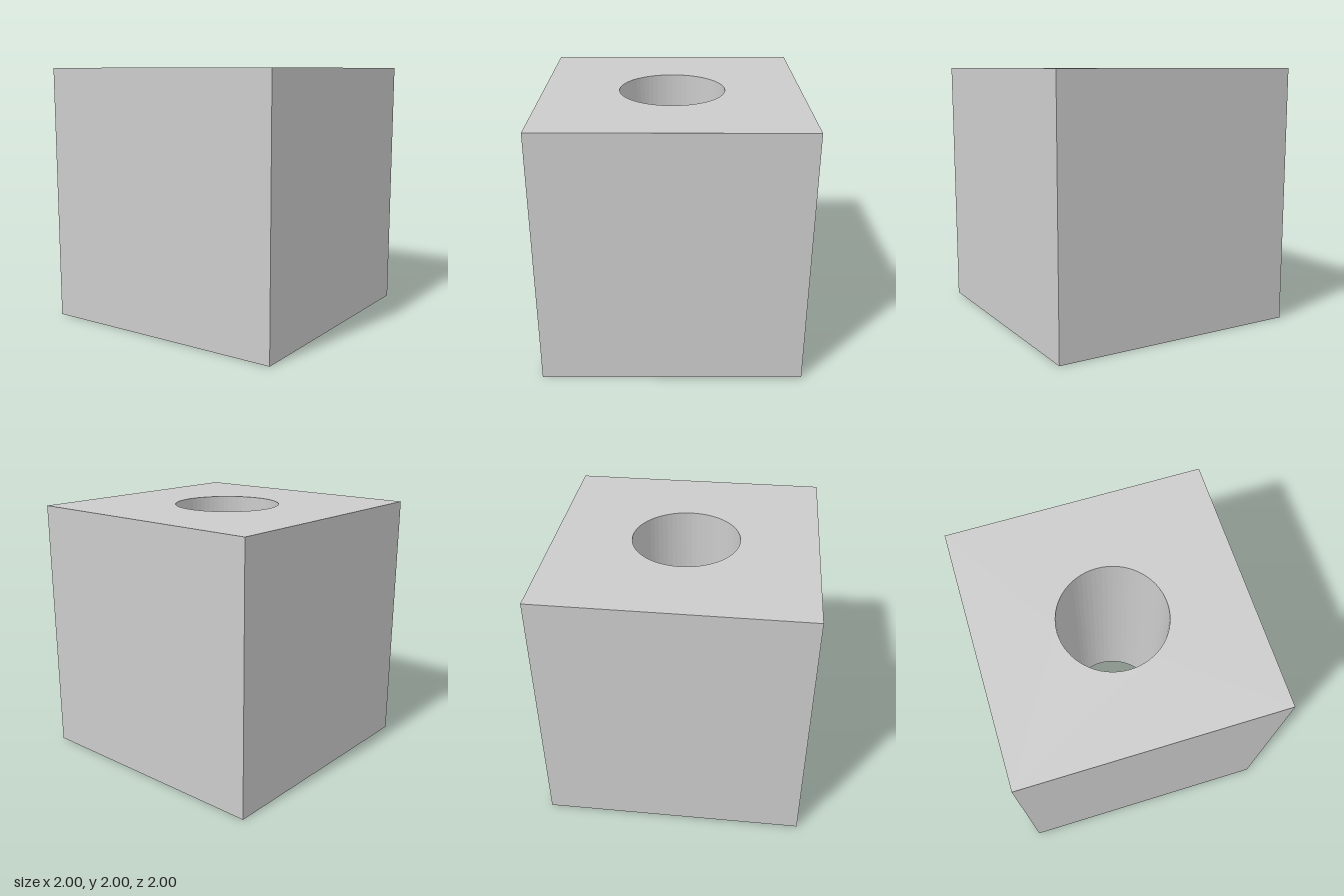
import * as THREE from 'three';

const SIZE = 2;
const HOLE_RADIUS = 0.41;

export function createModel() {
  const group = new THREE.Group();
  group.name = 'boredCube';

  // Square outline with a round hole through its centre
  const h = SIZE / 2;
  const outline = new THREE.Shape([
    new THREE.Vector2(-h, -h),
    new THREE.Vector2(h, -h),
    new THREE.Vector2(h, h),
    new THREE.Vector2(-h, h),
  ]);
  outline.holes.push(new THREE.Path().absarc(0, 0, HOLE_RADIUS, 0, Math.PI * 2, true));

  // Extruded upwards into a block; the bore keeps its fine facets
  const geometry = new THREE.ExtrudeGeometry(outline, {
    depth: SIZE,
    bevelEnabled: false,
    curveSegments: 32,
  });
  geometry.rotateX(-Math.PI / 2);

  const block = new THREE.Mesh(geometry, new THREE.MeshStandardMaterial({ color: 0xcccccc }));
  block.name = 'blockWithBore';
  group.add(block);
  return group;
}
